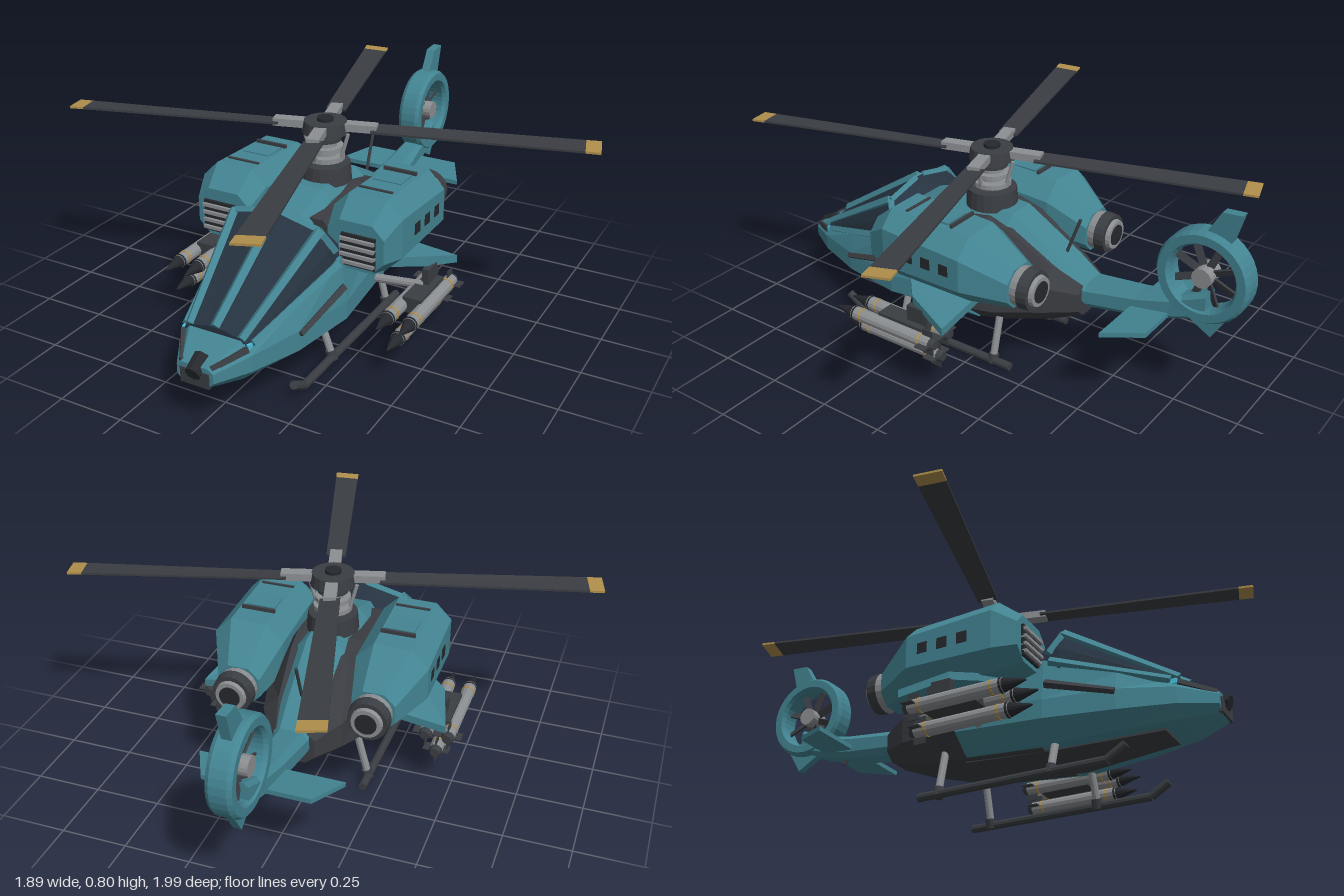
import * as THREE from 'three';

const mat = (color) => new THREE.MeshStandardMaterial({ color, flatShading: true, side: THREE.DoubleSide });
const V = (p) => new THREE.Vector3(...p);

export function createModel() {
  const teal = mat(0x438492), dark = mat(0x3a3d42), glass = mat(0x263340), black = mat(0x25282d);
  const grey = mat(0x8c8f92), gold = mat(0xb08f4c), cyan = mat(0x4cc8e8);
  const model = new THREE.Group();
  model.name = 'helicopter';

  const add = (name, geo, m, parent = model, pos = [0, 0, 0]) => {
    const mesh = new THREE.Mesh(geo, m);
    mesh.name = name;
    mesh.position.set(...pos);
    parent.add(mesh);
    return mesh;
  };
  const box = (name, size, pos, m, parent) => add(name, new THREE.BoxGeometry(...size), m, parent, pos);
  const rod = (name, a, b, r, m, parent, r2 = r, sides = 10) => {
    const d = V(b).sub(V(a));
    const mesh = add(name, new THREE.CylinderGeometry(r2, r, d.length(), sides), m, parent);
    mesh.position.copy(V(a)).addScaledVector(d, 0.5);
    mesh.quaternion.setFromUnitVectors(new THREE.Vector3(0, 1, 0), d.normalize());
    return mesh;
  };
  // Skin over rings of points, each counter-clockwise as seen from the first end
  const loft = (rings) => {
    const out = [], n = rings[0].length;
    const tri = (a, b, c) => out.push(...a, ...b, ...c);
    for (let s = 0; s < rings.length - 1; s++) for (let i = 0; i < n; i++) {
      const j = (i + 1) % n, a = rings[s], b = rings[s + 1];
      tri(a[i], b[i], b[j]);
      tri(a[i], b[j], a[j]);
    }
    const last = rings[rings.length - 1];
    for (let i = 1; i < n - 1; i++) {
      tri(rings[0][0], rings[0][i], rings[0][i + 1]);
      tri(last[0], last[i + 1], last[i]);
    }
    const g = new THREE.BufferGeometry();
    g.setAttribute('position', new THREE.Float32BufferAttribute(out, 3));
    g.computeVertexNormals();
    return g;
  };
  // Symmetric ring from a half profile, bottom to top
  const half = (z, pts) => [...pts.map(([x, y]) => [x, y, z]), ...pts.slice().reverse().map(([x, y]) => [-x, y, z])];
  // Rectangle with cut corners
  const oct = (z, x0, x1, y0, y1, c) => [[x0 + c, y0], [x1 - c, y0], [x1, y0 + c], [x1, y1 - c],
    [x1 - c, y1], [x0 + c, y1], [x0, y1 - c], [x0, y0 + c]].map(([x, y]) => [x, y, z]);
  const plate = (c, t) => loft([c.map(([x, y, z]) => [x, y + t / 2, z]), c.map(([x, y, z]) => [x, y - t / 2, z])]);
  // Upright plate from [z, y] corners
  const fin = (pts, t) => {
    const s = new THREE.Shape(pts.map(([z, y]) => new THREE.Vector2(-z, y)));
    return new THREE.ExtrudeGeometry(s, { depth: t, bevelEnabled: false }).translate(0, 0, -t / 2).rotateY(Math.PI / 2);
  };

  // Fuselage
  add('frontHull', loft([
    half(0.91, [[0.045, 0.168], [0.07, 0.19], [0.07, 0.225], [0.05, 0.24]]),
    half(0.79, [[0.1, 0.15], [0.14, 0.19], [0.14, 0.25], [0.1, 0.295]]),
    half(0.6, [[0.14, 0.138], [0.205, 0.185], [0.205, 0.26], [0.18, 0.33]]),
    half(0.35, [[0.165, 0.128], [0.25, 0.19], [0.25, 0.26], [0.225, 0.42]]),
    half(0, [[0.155, 0.155], [0.235, 0.22], [0.235, 0.3], [0.2, 0.42]]),
  ]), teal);
  add('rearHull', loft([
    half(0.3, [[0.14, 0.126], [0.2, 0.19], [0.2, 0.42], [0.13, 0.52]]),
    half(0, [[0.14, 0.15], [0.23, 0.23], [0.22, 0.38], [0.12, 0.55]]),
    half(-0.1, [[0.13, 0.168], [0.215, 0.24], [0.2, 0.38], [0.11, 0.53]]),
    half(-0.28, [[0.08, 0.21], [0.15, 0.27], [0.15, 0.37], [0.09, 0.43]]),
    half(-0.39, [[0.05, 0.25], [0.085, 0.28], [0.085, 0.35], [0.06, 0.375]]),
  ]), dark);
  add('bellyPanel', loft([half(0.72, [[0.07, 0.135], [0.07, 0.16]]), half(0.35, [[0.12, 0.122], [0.12, 0.15]]),
    half(-0.02, [[0.12, 0.147], [0.12, 0.18]])]), dark);
  add('spine', loft([[0.34, 0.09, 0.42, 0.525], [0.18, 0.095, 0.42, 0.58], [-0.08, 0.09, 0.42, 0.57], [-0.3, 0.075, 0.36, 0.45],
    [-0.4, 0.065, 0.285, 0.385], [-0.6, 0.052, 0.315, 0.41], [-0.72, 0.042, 0.345, 0.435], [-0.85, 0.035, 0.39, 0.49],
  ].map(([z, w, y0, y1]) => oct(z, -w, w, y0, y1, w * 0.4))), teal);

  // Canopy and its frame
  add('canopy', loft([
    half(0.79, [[0.125, 0.27], [0.12, 0.285], [0.1, 0.3], [0.025, 0.315]]),
    half(0.4, [[0.22, 0.38], [0.205, 0.465], [0.168, 0.535], [0.025, 0.572]]),
    half(0.32, [[0.22, 0.38], [0.2, 0.46], [0.16, 0.49], [0.025, 0.51]]),
  ]), glass);
  rod('canopyCentreFrame', [0, 0.318, 0.79], [0, 0.572, 0.4], 0.018, teal, model, 0.02, 4);
  rod('canopySensor', [0, 0.24, 0.86], [0, 0.215, 0.925], 0.035, black, model, 0.028, 8);
  box('noseGuard', [0.11, 0.055, 0.03], [0, 0.195, 0.9], dark);

  // Everything that repeats on both sides
  const side = new THREE.Group();
  side.name = 'leftSide';
  rod('canopyRoofFrame', [0.1, 0.3, 0.79], [0.17, 0.535, 0.4], 0.016, teal, side, 0.02, 4);
  rod('canopyRearFrame', [0.17, 0.535, 0.4], [0.21, 0.45, 0.36], 0.016, teal, side, 0.016, 4);
  rod('canopyTopFrame', [0.02, 0.57, 0.4], [0.17, 0.535, 0.4], 0.014, teal, side, 0.014, 4);
  rod('canopySill', [0.13, 0.285, 0.77], [0.225, 0.41, 0.37], 0.014, teal, side, 0.018, 4);
  rod('hullStripe', [0.21, 0.25, 0.6], [0.243, 0.32, 0.36], 0.012, dark, side, 0.016, 4);
  rod('noseStripe', [0.055, 0.238, 0.9], [0.125, 0.272, 0.79], 0.012, dark, side, 0.014, 4);
  box('headlight', [0.025, 0.018, 0.05], [0.118, 0.278, 0.765], cyan, side);

  // Engine nacelle with intake grille, windows, roof panel and exhaust
  add('engineNacelle', loft([oct(0.325, 0.16, 0.375, 0.375, 0.555, 0.045), oct(0.24, 0.14, 0.405, 0.355, 0.622, 0.06),
    oct(-0.1, 0.14, 0.41, 0.355, 0.608, 0.065), oct(-0.255, 0.175, 0.335, 0.355, 0.505, 0.04)]), teal, side);
  box('intakeGrille', [0.13, 0.12, 0.02], [0.28, 0.452, 0.325], black, side);
  for (let i = 0; i < 4; i++) box('intakeSlat', [0.13, 0.012, 0.024], [0.28, 0.408 + i * 0.029, 0.333], grey, side);
  for (const z of [0.125, 0.045, -0.035]) box('sideWindow', [0.02, 0.042, 0.04], [0.4, 0.485, z], black, side);
  box('roofPanel', [0.11, 0.014, 0.09], [0.27, 0.613, 0.05], teal, side);
  for (const z of [-0.015, 0.18]) box('roofHandle', [0.13, 0.014, 0.01], [0.27, 0.618, z], dark, side);
  rod('exhaustBody', [0.255, 0.43, -0.23], [0.255, 0.43, -0.29], 0.07, grey, side, 0.076, 20);
  rod('exhaustRim', [0.255, 0.43, -0.285], [0.255, 0.43, -0.325], 0.078, dark, side, 0.074, 20);
  rod('exhaustNozzle', [0.255, 0.43, -0.32], [0.255, 0.43, -0.34], 0.06, grey, side, 0.055, 20);
  rod('exhaustOpening', [0.255, 0.43, -0.335], [0.255, 0.43, -0.343], 0.04, black, side, 0.04, 20);

  // Stub wing, pylon and missiles
  add('stubWing', plate([[0.48, 0.285, -0.08], [0.2, 0.315, -0.07], [0.2, 0.37, 0.3], [0.43, 0.335, 0.09]], 0.03), teal, side);
  rod('pylonArm', [0.2, 0.225, 0.1], [0.43, 0.25, 0.1], 0.016, grey, side);
  box('pylonRack', [0.07, 0.06, 0.2], [0.437, 0.225, 0.12], dark, side);
  box('pylonPost', [0.025, 0.08, 0.09], [0.435, 0.275, 0.06], dark, side);
  for (const [x, y] of [[0.395, 0.22], [0.48, 0.22], [0.437, 0.15]]) {
    const m = new THREE.Group();
    m.name = 'missile';
    m.position.set(x, y, 0);
    rod('missileBody', [0, 0, -0.03], [0, 0, 0.33], 0.026, grey, m, 0.026, 12);
    rod('missileNose', [0, 0, 0.32], [0, 0, 0.41], 0.028, black, m, 0.003, 12);
    rod('missileTail', [0, 0, -0.05], [0, 0, -0.03], 0.018, dark, m, 0.026, 12);
    for (const z of [0.01, 0.285]) rod('missileBand', [0, 0, z], [0, 0, z + 0.008], 0.0275, gold, m, 0.0275, 12);
    for (let k = 0; k < 2; k++) {
      const f = box('missileFin', [0.1, 0.004, 0.045], [0, 0, -0.015], dark, m);
      f.rotation.z = k * Math.PI / 2;
    }
    side.add(m);
  }

  // Landing skid
  rod('skid', [0.195, 0.016, 0.56], [0.195, 0.016, -0.17], 0.016, dark, side);
  rod('skidToe', [0.195, 0.016, 0.555], [0.195, 0.058, 0.625], 0.016, dark, side);
  for (const [z, y] of [[0.35, 0.15], [-0.09, 0.2]]) {
    rod('skidStrut', [0.145, y, z], [0.192, 0.02, z], 0.014, grey, side);
    rod('strutFoot', [0.185, 0.04, z], [0.195, 0.005, z], 0.02, dark, side);
  }

  // Tailplane
  add('tailplane', plate([[0.195, 0.365, -0.72], [0, 0.365, -0.72], [0, 0.35, -0.58], [0.265, 0.35, -0.58]], 0.018), teal, side);
  const right = side.clone();
  right.name = 'rightSide';
  right.scale.x = -1;
  model.add(side, right);

  // Tail fan in its ring, with fins above and below
  const ring = [[0.16, -0.045], [0.17, -0.03], [0.17, 0.03], [0.16, 0.045], [0.13, 0.045], [0.12, 0.03], [0.12, -0.03], [0.13, -0.045], [0.16, -0.045]];
  const fan = new THREE.Group();
  fan.name = 'tailFan';
  fan.position.set(0, 0.545, -0.828);
  model.add(fan);
  add('fanRing', new THREE.LatheGeometry(ring.map((p) => new THREE.Vector2(...p)), 36).rotateZ(Math.PI / 2), teal, fan);
  rod('fanHub', [-0.04, 0, 0], [0.04, 0, 0], 0.036, grey, fan, 0.036, 16);
  for (let i = 0; i < 8; i++) {
    const arm = new THREE.Group();
    arm.name = 'fanBladeArm';
    arm.rotation.x = (i + 0.5) * Math.PI / 4;
    box('fanBlade', [0.008, 0.1, 0.026], [0, 0.075, 0], dark, arm).rotation.y = 0.45;
    fan.add(arm);
  }
  add('upperFin', fin([[-0.81, 0.69], [-0.87, 0.795], [-0.94, 0.8], [-0.91, 0.69]], 0.035), teal);
  add('lowerFin', fin([[-0.76, 0.4], [-0.78, 0.37], [-0.87, 0.318], [-0.935, 0.425]], 0.03), teal);
  rod('tailBumper', [0, 0.34, -0.64], [0, 0.305, -0.65], 0.008, dark);
  rod('antenna', [0, 0.42, -0.27], [0, 0.6, -0.335], 0.006, dark);

  // Main rotor
  const rotor = new THREE.Group();
  rotor.name = 'mainRotor';
  rotor.position.set(0, 0, 0.05);
  model.add(rotor);
  const stack = (name, y0, y1, r, m, r2) => rod(name, [0, y0, 0], [0, y1, 0], r, m, rotor, r2, 20);
  stack('mastBase', 0.56, 0.628, 0.098, dark, 0.092);
  stack('mast', 0.62, 0.76, 0.042, grey);
  stack('lowerSwashplate', 0.64, 0.658, 0.072, grey);
  stack('upperSwashplate', 0.675, 0.692, 0.066, grey);
  stack('mastCollar', 0.712, 0.726, 0.058, dark);
  stack('hub', 0.742, 0.785, 0.085, dark, 0.078);
  stack('hubCap', 0.78, 0.797, 0.03, black);
  for (let i = 0; i < 4; i++) {
    const arm = new THREE.Group();
    arm.name = 'rotorArm';
    arm.rotation.y = THREE.MathUtils.degToRad(15.5) + i * Math.PI / 2;
    rod('pitchLink', [0.06, 0.64, 0.02], [0.088, 0.745, 0.02], 0.007, grey, arm);
    box('bladeGrip', [0.13, 0.028, 0.045], [0.125, 0.769, 0], grey, arm);
    const blade = (x0, w0, x1, w1) => plate([[x1, 0.769, -w1], [x0, 0.769, -w0], [x0, 0.763, w0], [x1, 0.763, w1]], 0.008);
    add('rotorBlade', blade(0.17, 0.036, 0.915, 0.046), dark, arm);
    add('bladeTip', blade(0.915, 0.046, 0.968, 0.047), gold, arm);
    rotor.add(arm);
  }
  return model;
}
